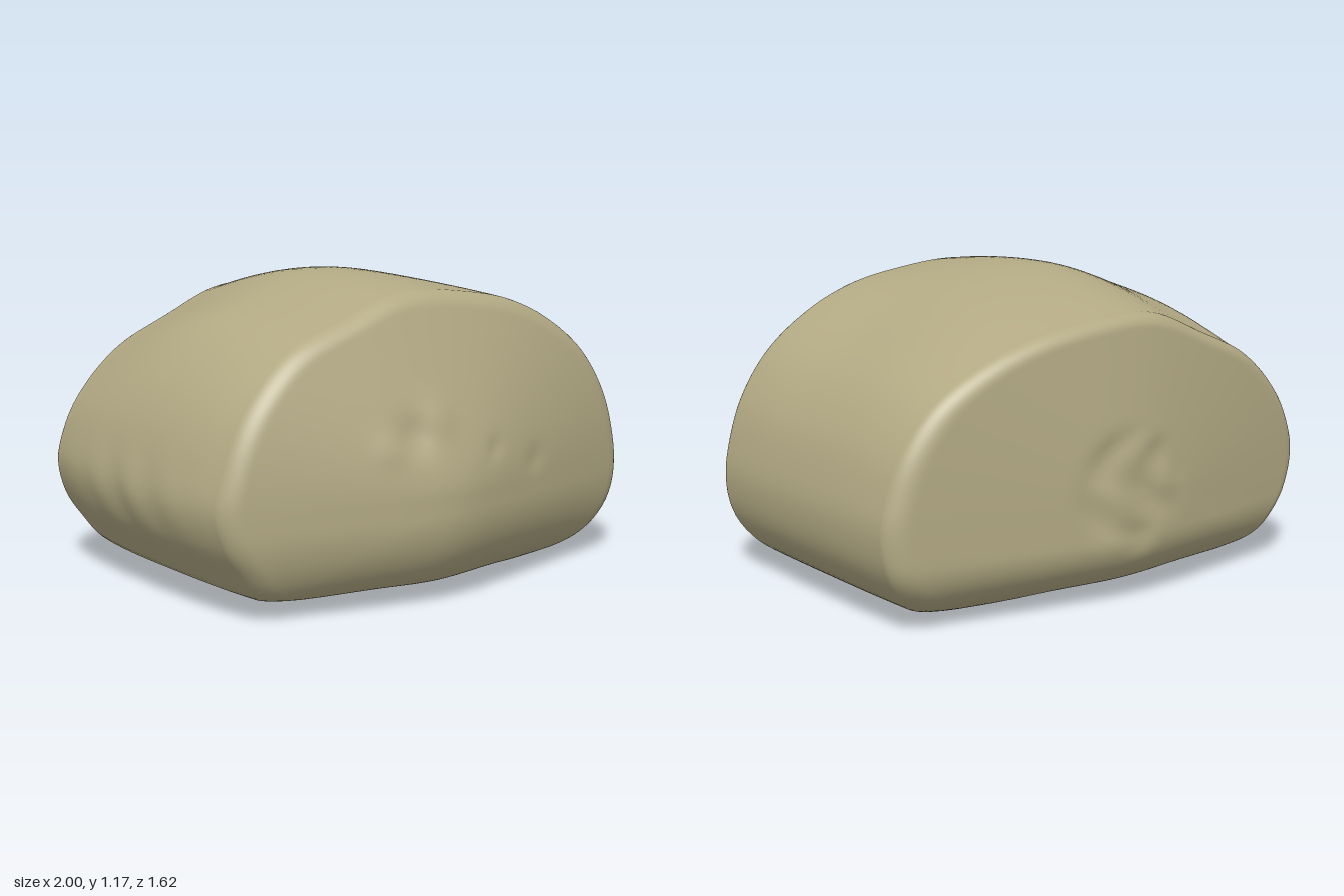
import * as THREE from 'three';

const AROUND = 160, WALL = 28, CAP = 44;
const CX = -0.08, CY = 0.42;

// Silhouette of the boulder, running from the -x side over the top and back underneath
const OUTLINE = [
  [-0.995, 0.42], [-0.965, 0.57], [-0.9, 0.73], [-0.8, 0.87], [-0.65, 1.0], [-0.4, 1.1], [-0.2, 1.165],
  [-0.05, 1.177], [0.15, 1.155], [0.4, 1.1], [0.62, 1.0], [0.8, 0.86], [0.92, 0.68], [0.98, 0.5],
  [1, 0.38], [0.98, 0.24], [0.92, 0.14], [0.82, 0.06], [0.62, 0.005], [0.3, 0.045], [0, 0.055],
  [-0.3, 0.065], [-0.67, 0.06], [-0.8, 0.09], [-0.89, 0.19], [-0.96, 0.29],
];

const lerp = THREE.MathUtils.lerp;
const smooth = THREE.MathUtils.smoothstep;
const spot = (x, y, cx, cy, r) => Math.exp(-((x - cx) ** 2 + (y - cy) ** 2) / (r * r));
// Quarter-round falloff: 0 for q <= 0, 1 at q = 1
const roll = (q) => 1 - Math.sqrt(1 - THREE.MathUtils.clamp(q, 0, 1) ** 2);

// Outline point narrowed towards the ends, with two shallow dips in the top, scaled about the axis by s
function place(p, z, s) {
  const f = Math.abs(z);
  const sx = 1 - (p.x < 0 ? 0.05 : 0.015) * Math.min(f / 0.6, 1.1) ** 3;
  const top = z > 0
    ? 1 - lerp(0.06, 0.035, smooth(p.x, 0, 0.6)) * (f / 0.55) ** 2
    : 1 - 0.15 * (f / 0.7) ** 1.7;
  const dip = smooth(p.y - CY, 0, 0.4)
    * (0.04 * spot(p.x, z, 0.65, 0.05, 0.35) + 0.06 * spot(p.x, z, -0.65, -0.65, 0.42));
  const y = (p.y - CY) * (p.y > CY ? top : 1) - dip;
  return [CX + (p.x * sx - CX) * s, CY + y * s];
}

// Depth of an end face: a blunt cone that rolls under along the bottom
function faceDepth(x, y, front) {
  if (front) {
    const u = (x + 0.1) / 0.95, v = Math.max(0, y - 0.42) / 0.72;
    const cone = (Math.sqrt(u * u + v * v + 0.03) - 0.173) / 0.842;
    return 0.81 - 0.23 * cone - 0.32 * (1 - 0.4 * x * x) * roll((0.36 - y) / 0.34);
  }
  const u = x / 0.95, v = Math.max(0, y - 0.3) / 0.8;
  const cone = (Math.sqrt(u * u + 0.3 * v * v + 0.03) - 0.173) / 0.842;
  return 0.81 - 0.15 * cone - 0.35 * (1 - 0.25 * x * x) * roll((0.26 - y) / 0.25);
}

// Small pits on the front face, a rough scar on the back face
function endRelief(x, y, front) {
  if (front) {
    return -0.018 * spot(x, y, -0.24, 0.66, 0.07) + 0.01 * spot(x, y, -0.13, 0.72, 0.07)
      + 0.008 * spot(x, y, -0.36, 0.62, 0.06) - 0.008 * spot(x, y, 0.13, 0.57, 0.04)
      - 0.008 * spot(x, y, 0.37, 0.49, 0.05);
  }
  const patch = 1 - smooth(Math.hypot(x - 0.03, y - 0.45), 0.16, 0.29);
  return patch * (-0.008 + 0.01 * Math.sin(22 * x + 2 * Math.sin(9 * y)) * Math.cos(15 * y + 3 * x));
}

// Depth at which the wall gives way to the rounded rim
const RIM = 0.06;
const wallEnd = (p, front) => faceDepth(p.x, p.y, front) - RIM;

// One point of an end face: k is 1 on the wall and 0 in the middle of the face
function endPoint(p, k, front) {
  const sign = front ? 1 : -1;
  const fx = lerp(CX, p.x, k), fy = lerp(CY, p.y, k);
  const depth = faceDepth(fx, fy, front) + endRelief(fx, fy, front) - RIM * roll((k - 0.92) / 0.08);
  return [...place(p, sign * wallEnd(p, front), k), sign * depth];
}

// Wall between the ends, with a rough scar along the -x side
function wallPoint(p, v) {
  const z = lerp(wallEnd(p, true), -wallEnd(p, false), v);
  const [x, y] = place(p, z, 1);
  const scar = p.x < -0.85 ? spot(z * 0.35, y, 0, 0.4, 0.13) * Math.sin(Math.PI * v) : 0;
  return [x + 0.007 * scar * Math.sin(24 * z + 9 * y), y, z];
}

function boulderGeometry() {
  const curve = new THREE.CatmullRomCurve3(OUTLINE.map(([x, y]) => new THREE.Vector3(x, y, 0)), true);
  curve.arcLengthDivisions = 600;
  const loop = curve.getSpacedPoints(AROUND).slice(0, AROUND);

  // Rings ordered from the front face, along the wall, to the back face; closer together at the rims
  const rings = [];
  const scale = (i) => Math.sin((i / CAP) * Math.PI / 2);
  for (let i = 1; i < CAP; i++) rings.push((p) => endPoint(p, scale(i), true));
  for (let i = 0; i <= WALL; i++) rings.push((p) => wallPoint(p, i / WALL));
  for (let i = CAP - 1; i > 0; i--) rings.push((p) => endPoint(p, scale(i), false));

  const pos = [], index = [];
  for (const ring of rings) for (const p of loop) pos.push(...ring(p));
  const frontTip = pos.length / 3, backTip = frontTip + 1;
  pos.push(...endPoint(loop[0], 0, true), ...endPoint(loop[0], 0, false));

  const last = (rings.length - 1) * AROUND;
  for (let j = 0; j < AROUND; j++) {
    const n = (j + 1) % AROUND;
    index.push(frontTip, n, j, backTip, last + j, last + n);
    for (let i = 0; i < rings.length - 1; i++) {
      const a = i * AROUND, b = a + AROUND;
      index.push(a + j, a + n, b + j, a + n, b + n, b + j);
    }
  }
  const geo = new THREE.BufferGeometry();
  geo.setAttribute('position', new THREE.Float32BufferAttribute(pos, 3));
  geo.setIndex(index);
  geo.computeVertexNormals();
  return geo;
}

export function createModel() {
  const stone = new THREE.MeshStandardMaterial({ color: 0xb3aa84 });
  stone.name = 'sandy stone';
  const boulder = new THREE.Mesh(boulderGeometry(), stone);
  boulder.name = 'boulder';
  const group = new THREE.Group();
  group.name = 'rock';
  group.add(boulder);
  return group;
}
